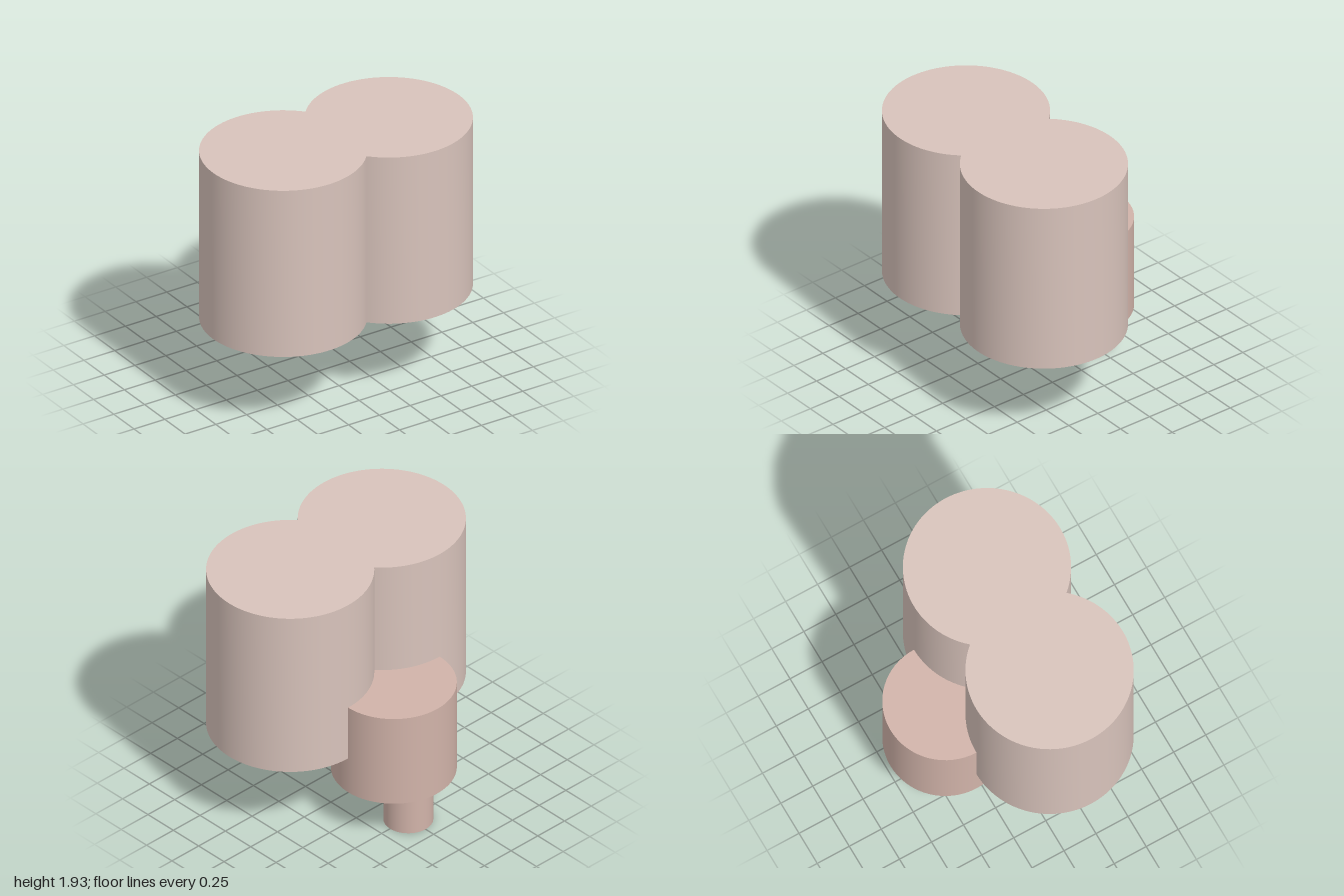
import * as THREE from 'three';
import { toCreasedNormals } from 'three/addons/utils/BufferGeometryUtils.js';

const material = (color) => new THREE.MeshStandardMaterial({ color });

function cylinder(name, radius, bottom, top, z, mat) {
  const mesh = new THREE.Mesh(new THREE.CylinderGeometry(radius, radius, top - bottom, 64), mat);
  mesh.position.set(0, (bottom + top) / 2, z);
  mesh.name = name;
  return mesh;
}

export function createModel() {
  const group = new THREE.Group();
  group.name = 'twinCylinderUnit';
  const bodyMat = material(0xd8c3bb);
  const baseMat = material(0xd1b3a9);

  // Twin body: two overlapping circles merged into one outline
  const r = 0.571, offset = 0.429, z = 0.213, bottom = 0.645, top = 1.93;
  const seam = Math.acos(offset / r);
  const outline = new THREE.Shape();
  outline.absarc(offset, -z, r, seam - Math.PI, Math.PI - seam, false);
  outline.absarc(-offset, -z, r, seam, 2 * Math.PI - seam, false);
  const bodyGeo = new THREE.ExtrudeGeometry(outline, {
    depth: top - bottom, bevelEnabled: false, curveSegments: 48,
  });
  bodyGeo.rotateX(-Math.PI / 2);
  const body = new THREE.Mesh(toCreasedNormals(bodyGeo, 0.5), bodyMat);
  body.position.y = bottom;
  body.name = 'twinBody';
  group.add(body);

  // Rear housing, partly sunk into the body, and the off-centre shaft below it
  group.add(cylinder('rearHousing', 0.428, 0.36, 1.07, -0.357, baseMat));
  group.add(cylinder('shaft', 0.17, 0, 0.36, -0.5, baseMat));

  return group;
}
